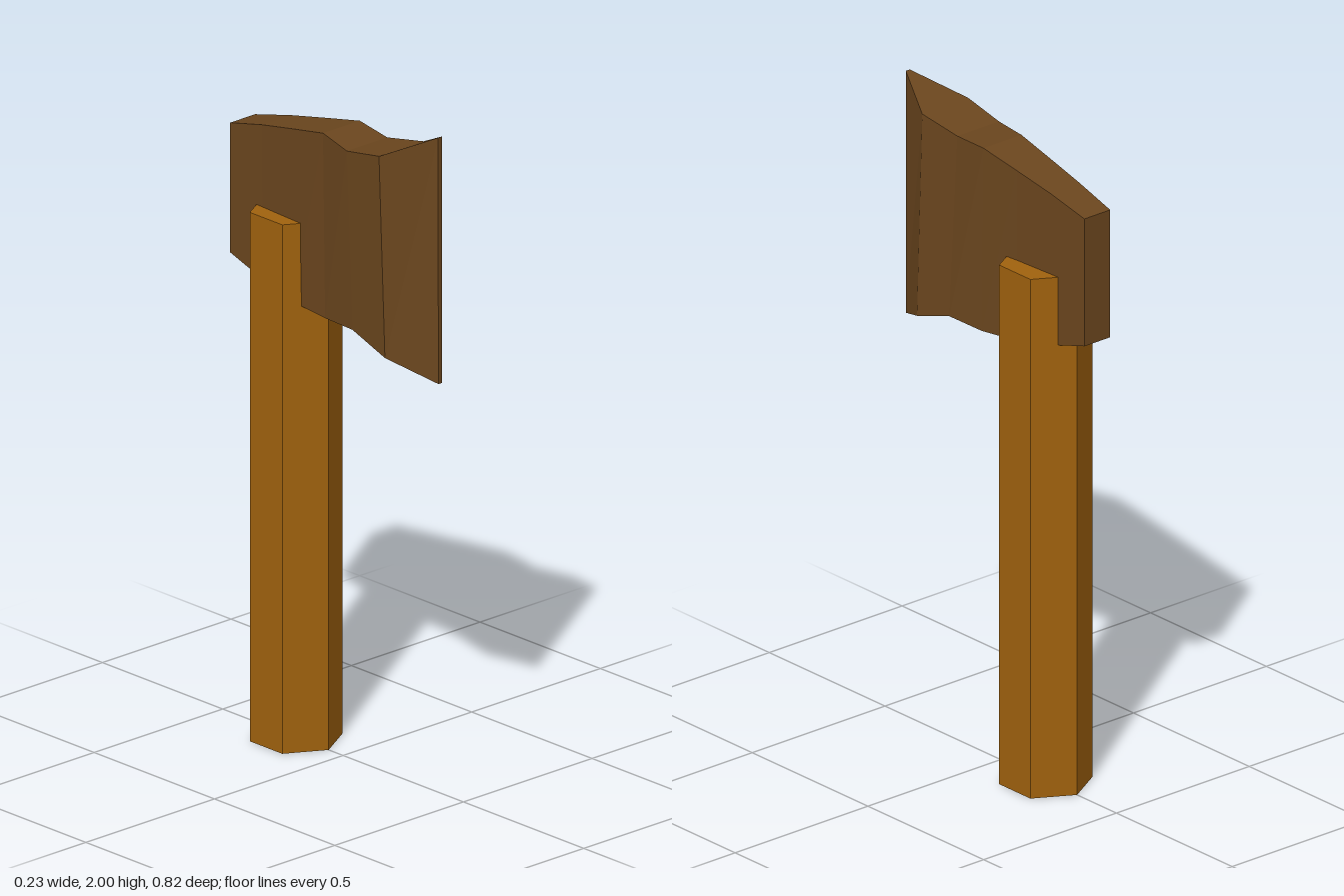
import * as THREE from 'three';

// Cross-sections from cutting edge to poll:
// z, bottom y, bottom left x, bottom right x, top y, top left x, top right x
const SECTIONS = [
  [0.41, 1.25, -0.013, 0.0, 2.0, -0.015, 0.0],
  [0.27, 1.31, -0.09, 0.08, 1.93, -0.113, 0.06],
  [0.13, 1.355, -0.085, 0.08, 1.905, -0.107, 0.05],
  [0.0, 1.35, -0.07, 0.071, 1.915, -0.078, 0.065],
  [-0.135, 1.36, -0.068, 0.057, 1.888, -0.07, 0.057],
  [-0.27, 1.39, -0.061, 0.049, 1.86, -0.062, 0.049],
  [-0.41, 1.43, -0.055, 0.042, 1.825, -0.055, 0.042],
];

// Joins four-cornered sections into a closed flat-shaded solid
function loftGeometry(sections) {
  const rings = sections.map(([z, yb, bl, br, yt, tl, tr]) => [
    [bl, yb, z], [br, yb, z], [tr, yt, z], [tl, yt, z],
  ]);
  const positions = [];
  const quad = (a, b, c, d) => positions.push(...a, ...b, ...c, ...a, ...c, ...d);
  for (let i = 0; i < rings.length - 1; i++) {
    for (let j = 0; j < 4; j++) {
      const k = (j + 1) % 4;
      quad(rings[i][j], rings[i + 1][j], rings[i + 1][k], rings[i][k]);
    }
  }
  quad(...rings[0]);
  quad(...[...rings[rings.length - 1]].reverse());
  const geometry = new THREE.BufferGeometry();
  geometry.setAttribute('position', new THREE.Float32BufferAttribute(positions, 3));
  geometry.computeVertexNormals();
  return geometry;
}

export function createModel() {
  const group = new THREE.Group();
  group.name = 'axe';

  // Hexagonal handle, corners pointing forwards and backwards
  const handle = new THREE.Mesh(
    new THREE.CylinderGeometry(0.135, 0.135, 1.61, 6),
    new THREE.MeshStandardMaterial({ color: 0xa0620e, flatShading: true }),
  );
  handle.name = 'handle';
  handle.position.set(0, 0.805, -0.195);
  group.add(handle);

  // Axe head, flaring to the cutting edge at the front
  const head = new THREE.Mesh(
    loftGeometry(SECTIONS),
    new THREE.MeshStandardMaterial({ color: 0x6b461e, flatShading: true }),
  );
  head.name = 'axeHead';
  group.add(head);

  return group;
}
